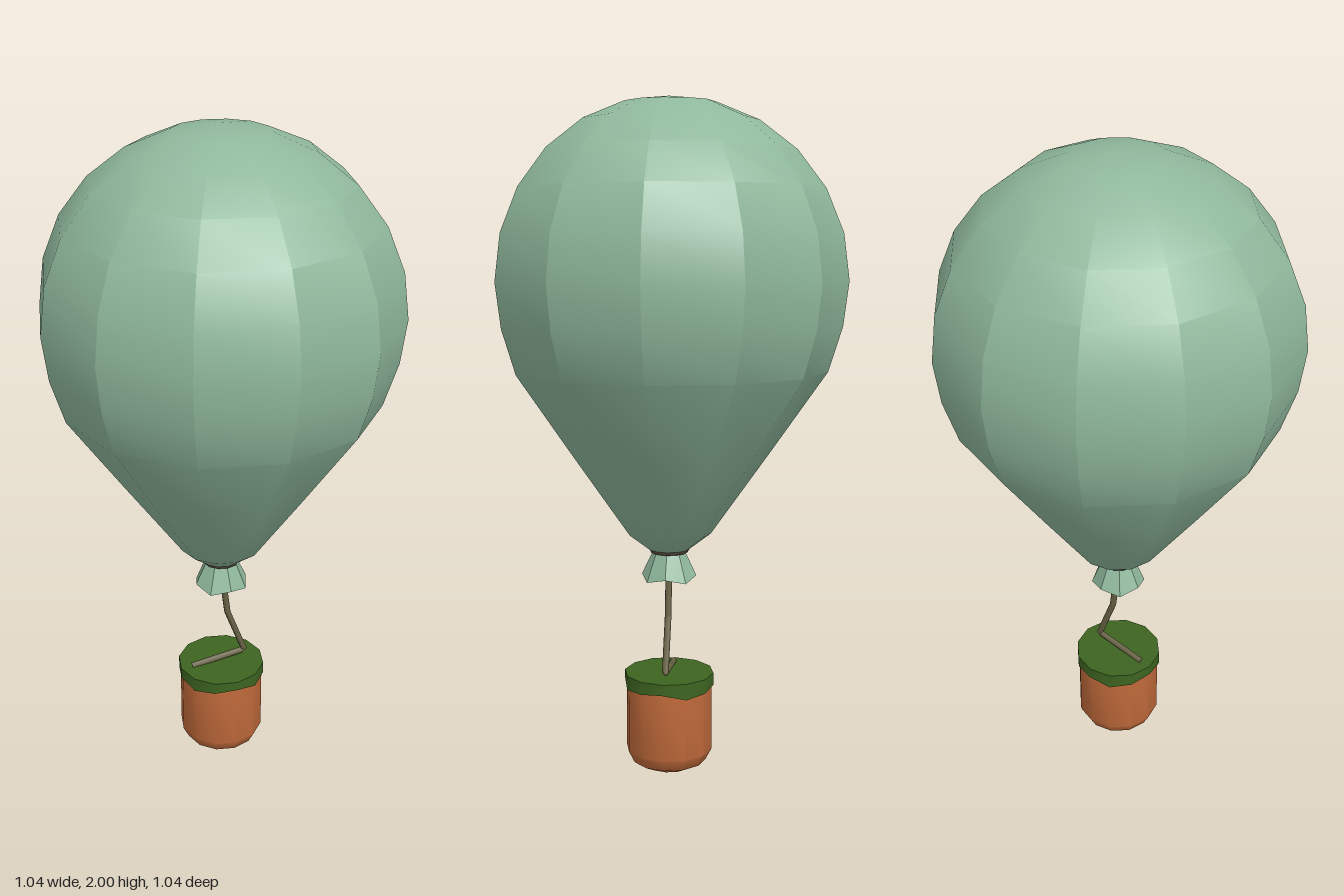
import * as THREE from 'three';
import { toCreasedNormals } from 'three/addons/utils/BufferGeometryUtils.js';

const mat = (name, color, side = THREE.FrontSide) => {
  const m = new THREE.MeshStandardMaterial({ color, side });
  m.name = name;
  return m;
};

// Turned shape from [radius, y] pairs, listed bottom to top
const lathe = (pairs, sides, crease) => toCreasedNormals(
  new THREE.LatheGeometry(pairs.map(([r, y]) => new THREE.Vector2(r, y)), sides), crease);

export function createModel() {
  const group = new THREE.Group();
  const green = mat('balloon green', 0x8fb89c, THREE.DoubleSide);
  const cord = mat('cord brown', 0x6a6446);
  const knotBrown = mat('knot brown', 0x55483a);
  const clay = mat('clay orange', 0xc26b3b);
  const moss = mat('moss green', 0x3d6420);

  const add = (name, geometry, material) => {
    const mesh = new THREE.Mesh(geometry, material);
    mesh.name = name;
    group.add(mesh);
    return mesh;
  };

  // Balloon: tapering cone below, round dome above
  const profile = [[0, 0.675], [0.06, 0.685], [0.125, 0.735], [0.3, 0.985], [0.462, 1.22], [0.502, 1.35]];
  for (let i = 0; i <= 6; i++) {
    const a = (i / 6) * Math.PI / 2;
    profile.push([i === 6 ? 0 : 0.518 * Math.cos(a), 1.48 + 0.52 * Math.sin(a)]);
  }
  add('balloon', lathe(profile, 12, 0.45), green);

  // Knot around the neck
  const knot = add('knot', new THREE.TorusGeometry(0.049, 0.013, 6, 12), knotBrown);
  knot.rotation.x = Math.PI / 2;
  knot.position.y = 0.687;

  // Flared skirt with a wavy hem
  const skirt = new THREE.CylinderGeometry(0.045, 0.082, 0.085, 8, 1, true);
  const sp = skirt.attributes.position;
  for (let i = 0; i < sp.count; i++) {
    if (sp.getY(i) > 0) continue;
    const a = Math.atan2(sp.getX(i), sp.getZ(i));
    sp.setY(i, sp.getY(i) + 0.007 * Math.cos(4 * a));
  }
  skirt.translate(0, 0.642, 0);
  add('skirt', toCreasedNormals(skirt, 0.5), green);

  // Bent string, lying across the top of the pot
  const bends = [[0.005, 0.68], [0.008, 0.59], [0.022, 0.48], [0.08, 0.325], [-0.1, 0.307]];
  const path = new THREE.CurvePath();
  const pts = bends.map(([x, y]) => new THREE.Vector3(x, y, 0));
  for (let i = 1; i < pts.length; i++) path.add(new THREE.LineCurve3(pts[i - 1], pts[i]));
  add('string', new THREE.TubeGeometry(path, 48, 0.01, 6), cord);

  // Pot with a rounded base
  add('pot', lathe([[0, 0.004], [0.07, 0.012], [0.112, 0.033], [0.13, 0.068], [0.13, 0.295]], 12, 0.65), clay);

  // Moss cap with a ragged lower edge
  const cap = new THREE.CylinderGeometry(0.135, 0.135, 0.04, 12);
  const cp = cap.attributes.position;
  for (let i = 0; i < cp.count; i++) {
    if (cp.getY(i) > 0) continue;
    const a = Math.atan2(cp.getX(i), cp.getZ(i));
    cp.setY(i, cp.getY(i) + 0.008 * Math.cos(4 * a + 0.5) + 0.004 * Math.cos(a));
  }
  cap.translate(0, 0.286, 0);
  add('moss', toCreasedNormals(cap, 0.65), moss);

  return group;
}
